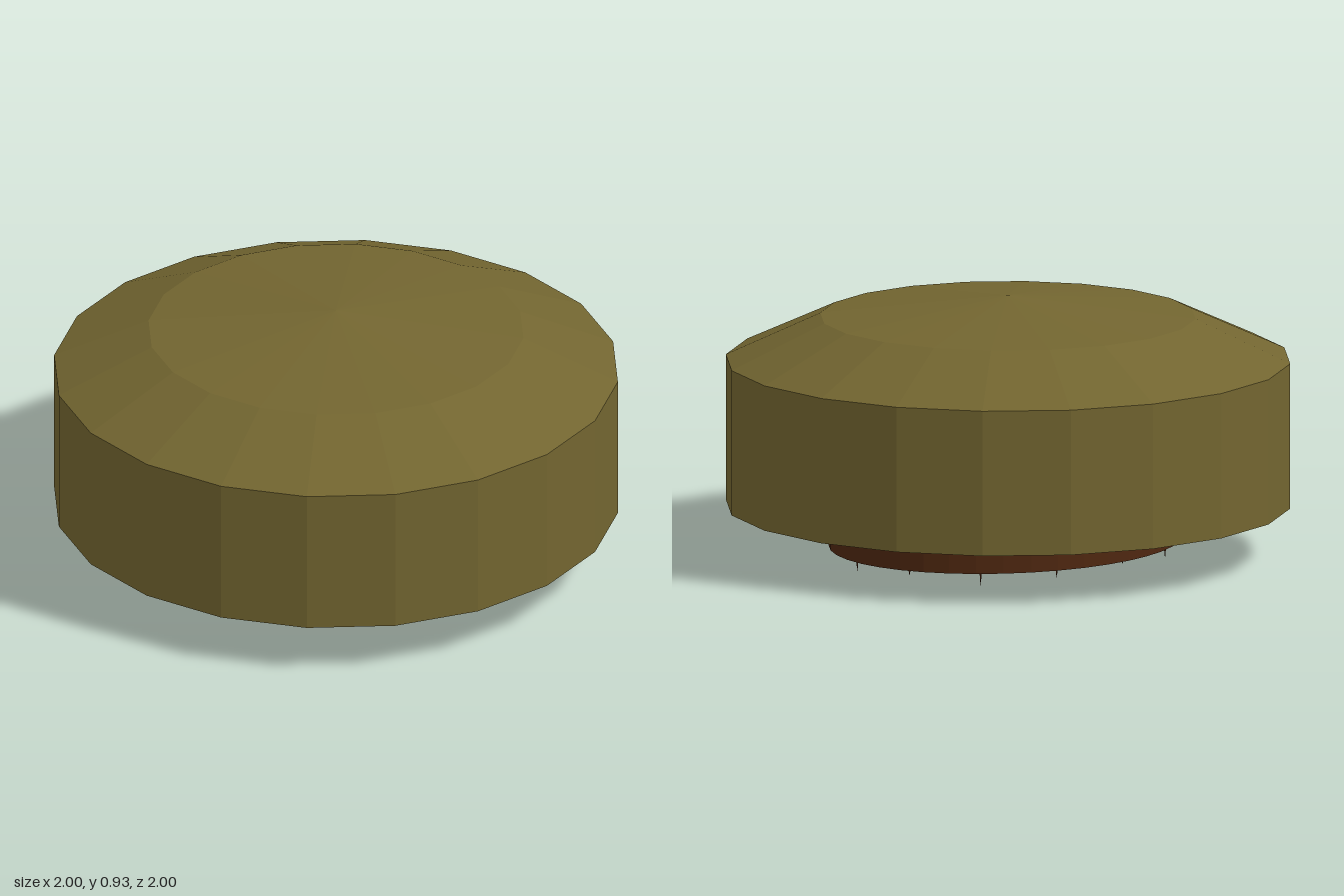
import * as THREE from 'three';

const olive = new THREE.MeshStandardMaterial({ color: 0x726530, side: THREE.DoubleSide });
olive.name = 'olive canopy';
const brown = new THREE.MeshStandardMaterial({ color: 0x4e2710 });
brown.name = 'dark timber';
const rust = new THREE.MeshStandardMaterial({ color: 0x70380f });
rust.name = 'rust timber';
const stone = new THREE.MeshStandardMaterial({ color: 0x473031, side: THREE.DoubleSide });
stone.name = 'purple stone';

// Half sizes of the oval drum under the canopy
const RX = 0.58, RZ = 0.675, CZ = -0.015;

function add(parent, name, geometry, material, x = 0, y = 0, z = 0) {
  const mesh = new THREE.Mesh(geometry, material);
  mesh.name = name;
  mesh.position.set(x, y, z);
  parent.add(mesh);
  return mesh;
}

// Faceted turned shape; profile points run outward face first, [radius, height]
function turned(profile, sides, sx = 1, sz = 1) {
  const points = profile.map(([r, y]) => new THREE.Vector2(r, y));
  const geometry = new THREE.LatheGeometry(points, sides).toNonIndexed();
  geometry.scale(sx, 1, sz);
  geometry.computeVertexNormals();
  return geometry;
}

export function createModel() {
  const model = new THREE.Group();
  model.name = 'canopyHut';

  // Large faceted canopy, open below
  add(model, 'canopy', turned([[1, 0.18], [1, 0.7], [0.665, 0.855], [0, 0.93]], 20), olive);

  // Oval drum in stacked bands
  const drum = new THREE.Group();
  drum.name = 'drum';
  drum.position.z = CZ;
  model.add(drum);
  const band = (name, profile, material) => add(drum, name, turned(profile, 40, RX, RZ), material);
  band('drumBottom', [[0, 0.05], [1, 0.05]], stone);
  band('foundation', [[1, 0.05], [1, 0.2]], brown);
  band('floorPlate', [[1, 0.2], [1.08, 0.2]], stone);
  band('flare', [[1.08, 0.2], [1.15, 0.27]], brown);
  band('collar', [[1.15, 0.27], [1.15, 0.4], [1.02, 0.42]], rust);
  band('upperWall', [[1.02, 0.42], [1.02, 0.66], [0, 0.8]], brown);

  // Entrance block with an arched stone front
  add(model, 'entranceBlock', new THREE.BoxGeometry(0.26, 0.14, 0.12), brown, -0.01, 0.121, 0.675);
  add(model, 'entranceBase', new THREE.BoxGeometry(0.26, 0.006, 0.12), stone, -0.01, 0.048, 0.675);
  const arch = new THREE.Shape();
  arch.moveTo(-0.085, 0.05);
  arch.lineTo(0.09, 0.05);
  arch.quadraticCurveTo(0.08, 0.17, 0.035, 0.172);
  arch.lineTo(-0.03, 0.172);
  arch.quadraticCurveTo(-0.065, 0.17, -0.085, 0.05);
  add(model, 'entranceArch', new THREE.ShapeGeometry(arch), stone, 0, 0, 0.738);

  // Brackets around the collar, hidden behind the canopy rim
  const places = [[0.42, 0.66], [0.62, 0.45], [-0.46, -0.56], [0.22, -0.76], [-0.3, -0.7], [-0.62, 0.4]];
  places.forEach(([x, z]) => {
    const bracket = new THREE.Group();
    bracket.name = 'bracket';
    bracket.position.set(x, 0, z);
    bracket.rotation.y = Math.atan2(x, z);
    add(bracket, 'bracketPost', new THREE.BoxGeometry(0.09, 0.3, 0.1), brown, 0, 0.36, 0);
    add(bracket, 'bracketFoot', new THREE.BoxGeometry(0.13, 0.06, 0.13), stone, 0, 0.25, 0);
    add(bracket, 'bracketBeam', new THREE.BoxGeometry(0.12, 0.07, 0.18), rust, 0, 0.45, 0);
    model.add(bracket);
  });

  // Small studs under the drum and fine roots around its edge
  for (let i = 0; i < 12; i++) {
    const a = i * 2.4, r = 0.45 + 0.4 * ((i * 5) % 7) / 6;
    add(model, 'stud', new THREE.CylinderGeometry(0.025, 0.02, 0.006, 8), stone,
      RX * r * Math.sin(a), 0.048, CZ + RZ * r * Math.cos(a));
  }
  for (let i = 0; i < 14; i++) {
    const a = i * 0.449 + 0.2, length = 0.012 + 0.038 * ((i * 3) % 5) / 4;
    const root = add(model, 'root', new THREE.ConeGeometry(0.005, length, 4), brown,
      RX * 0.97 * Math.sin(a), 0.05 - length / 2, CZ + RZ * 0.97 * Math.cos(a));
    root.rotation.x = Math.PI;
  }

  // Moss leaves on the left side
  for (const z of [0.105, -0.13]) {
    add(model, 'mossLeaf', new THREE.OctahedronGeometry(0.016), olive, 0.575, 0.062, z);
  }
  return model;
}
